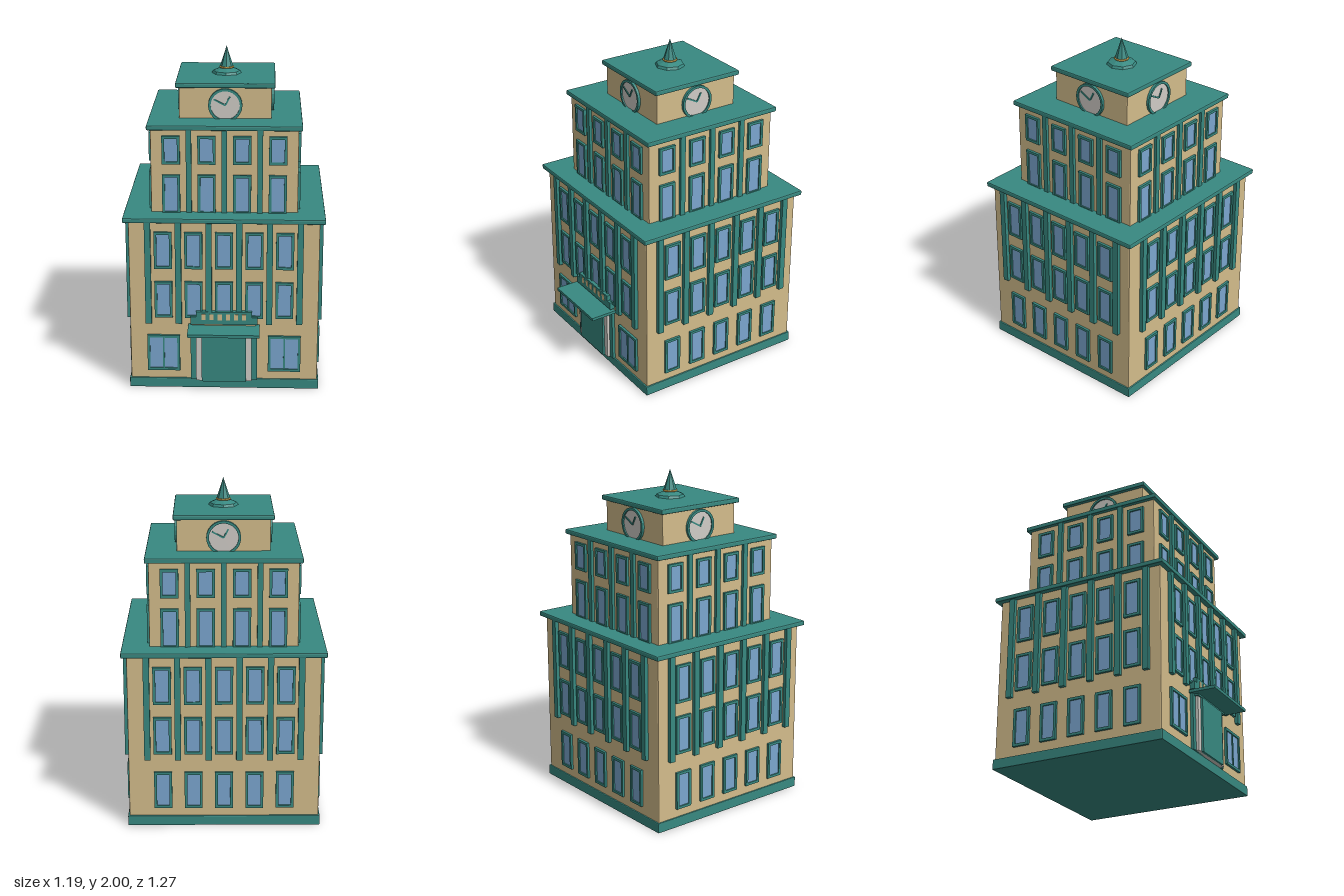
import * as THREE from 'three';
import { RoundedBoxGeometry } from 'three/addons/geometries/RoundedBoxGeometry.js';

const material = (name, color, flatShading = false) => {
  const m = new THREE.MeshStandardMaterial({ color });
  m.name = name;
  m.flatShading = flatShading;
  return m;
};

export function createModel() {
  const teal = material('teal trim', 0x388981, true);
  const stone = material('sandstone', 0xd3bc8b, true);
  const glass = material('blue glass', 0x7ba6cf);
  const pale = material('pale grey', 0xd0ccc6);
  const gold = material('gold', 0xc49a4a);

  const model = new THREE.Group();
  model.name = 'clockTowerBuilding';
  const building = new THREE.Group();
  building.name = 'building';
  building.position.z = -0.068;
  model.add(building);

  const add = (parent, name, geometry, mat, x = 0, y = 0, z = 0) => {
    const mesh = new THREE.Mesh(geometry, mat);
    mesh.name = name;
    mesh.position.set(x, y, z);
    parent.add(mesh);
    return mesh;
  };
  // Box given by its half width, bottom, top, back and front
  const block = (parent, name, mat, hx, y0, y1, z0, z1, x = 0) =>
    add(parent, name, new THREE.BoxGeometry(hx * 2, y1 - y0, z1 - z0), mat, x, (y0 + y1) / 2, (z0 + z1) / 2);
  // Slab with softened edges, centred on the building
  const slab = (name, mat, hx, hz, y0, y1, r) =>
    add(building, name, new RoundedBoxGeometry(hx * 2, y1 - y0, hz * 2, 1, r), mat, 0, (y0 + y1) / 2, 0);

  // Framed window on a wall lying in the plane z = 0
  const addWindow = (wall, x, y0, y1, width = 0.106, mullion = false) => {
    const w = width / 2, h = (y1 - y0) / 2, b = 0.016;
    const group = new THREE.Group();
    group.name = 'window';
    group.position.set(x, (y0 + y1) / 2, 0);
    wall.add(group);
    const rect = (Type, a, c) => new Type([
      new THREE.Vector2(-a, -c), new THREE.Vector2(a, -c),
      new THREE.Vector2(a, c), new THREE.Vector2(-a, c)]);
    const frame = rect(THREE.Shape, w, h);
    frame.holes.push(rect(THREE.Path, w - b, h - b));
    add(group, 'windowFrame', new THREE.ExtrudeGeometry(frame, { depth: 0.015, bevelEnabled: false }), teal);
    add(group, 'windowGlass', new THREE.BoxGeometry(2 * (w - b), 2 * (h - b), 0.006), glass, 0, 0, 0.004);
    if (mullion) add(group, 'mullion', new THREE.BoxGeometry(0.01, 2 * (h - b), 0.012), teal, 0, 0, 0.007);
  };

  // Calls build(wall, index) for all four walls; index 0 is the front
  const eachWall = (name, hx, hz, build) => {
    for (let i = 0; i < 4; i++) {
      const side = new THREE.Group();
      side.name = name;
      side.rotation.y = i * Math.PI / 2;
      building.add(side);
      const wall = new THREE.Group();
      wall.name = name + 'Face';
      wall.position.z = i % 2 ? hx : hz;
      side.add(wall);
      build(wall, i);
    }
  };

  // Stacked tiers with their projecting roofs
  slab('plinth', teal, 0.572, 0.547, 0, 0.062, 0.005);
  slab('lowerWalls', stone, 0.563, 0.538, 0.03, 1.07, 0.006);
  slab('lowerRoof', teal, 0.595, 0.568, 1.06, 1.09, 0.007);
  slab('middleWalls', stone, 0.433, 0.433, 1.07, 1.6, 0.005);
  slab('middleRoof', teal, 0.455, 0.455, 1.59, 1.62, 0.007);
  slab('clockWalls', stone, 0.273, 0.273, 1.6, 1.815, 0.004);
  slab('clockRoof', teal, 0.294, 0.294, 1.805, 1.835, 0.007);

  // Lower tier: pilasters, two window rows and the ground floor
  eachWall('lowerWall', 0.563, 0.538, (wall, side) => {
    for (let i = 0; i < 6; i++)
      block(wall, 'pilaster', teal, 0.018, 0.425, 1.065, -0.01, 0.023, (i - 2.5) * 0.18);
    for (let i = -2; i <= 2; i++) {
      addWindow(wall, i * 0.18, 0.772, 1.0);
      addWindow(wall, i * 0.18, 0.46, 0.69);
      if (side !== 0) addWindow(wall, i * 0.18, 0.115, 0.345);
    }
    if (side === 0)
      for (const s of [-1, 1]) addWindow(wall, s * 0.363, 0.115, 0.345, 0.196, true);
  });

  // Middle tier: three pilasters and two rows of four windows
  eachWall('middleWall', 0.433, 0.433, (wall) => {
    for (let i = -1; i <= 1; i++)
      block(wall, 'pilaster', teal, 0.016, 1.08, 1.595, -0.01, 0.018, i * 0.209);
    for (let i = 0; i < 4; i++) {
      addWindow(wall, (i - 1.5) * 0.209, 1.385, 1.555);
      addWindow(wall, (i - 1.5) * 0.209, 1.08, 1.32);
    }
  });

  // Clocks on all four sides
  eachWall('clockWall', 0.273, 0.273, (wall) => {
    const clock = new THREE.Group();
    clock.name = 'clock';
    clock.position.y = 1.7;
    wall.add(clock);
    const ring = new THREE.Shape().absarc(0, 0, 0.101, 0, Math.PI * 2, false);
    ring.holes.push(new THREE.Path().absarc(0, 0, 0.086, 0, Math.PI * 2, true));
    add(clock, 'clockRim', new THREE.ExtrudeGeometry(ring, { depth: 0.016, bevelEnabled: false, curveSegments: 12 }), teal);
    add(clock, 'clockFace', new THREE.CylinderGeometry(0.09, 0.09, 0.008, 24).rotateX(Math.PI / 2), pale, 0, 0, 0.004);
    for (const [x, y] of [[-0.068, 0.036], [0.027, 0.051]]) {
      const hand = add(clock, 'clockHand', new THREE.BoxGeometry(Math.hypot(x, y), 0.009, 0.006), teal, x / 2, y / 2, 0.01);
      hand.rotation.z = Math.atan2(y, x);
    }
  });

  // Spire
  add(building, 'spireBase', new THREE.CylinderGeometry(0.082, 0.09, 0.015, 8), teal, 0, 1.842, 0);
  add(building, 'spireFlare', new THREE.CylinderGeometry(0.04, 0.082, 0.018, 8), teal, 0, 1.858, 0);
  add(building, 'spireRing', new THREE.TorusGeometry(0.039, 0.006, 6, 16).rotateX(Math.PI / 2), gold, 0, 1.872, 0);
  add(building, 'spire', new THREE.ConeGeometry(0.042, 0.13, 8), teal, 0, 1.935, 0);

  // Entrance: stepped layers, canopy and parapet
  const entrance = new THREE.Group();
  entrance.name = 'entrance';
  model.add(entrance);
  block(entrance, 'doorSurround', teal, 0.2, 0.06, 0.4, 0.46, 0.488);
  block(entrance, 'doorPiers', pale, 0.167, 0.06, 0.395, 0.48, 0.505);
  block(entrance, 'door', teal, 0.133, 0.06, 0.388, 0.5, 0.518);
  block(entrance, 'doorLintel', teal, 0.18, 0.388, 0.4, 0.48, 0.514);
  block(entrance, 'canopy', teal, 0.213, 0.398, 0.416, 0.46, 0.635);
  block(entrance, 'parapetBand', stone, 0.19, 0.416, 0.427, 0.46, 0.49);
  block(entrance, 'parapetBase', teal, 0.2, 0.425, 0.472, 0.46, 0.5);
  block(entrance, 'parapetTop', teal, 0.167, 0.472, 0.505, 0.46, 0.5);
  for (let i = 0; i < 6; i++)
    block(entrance, 'parapetSlot', stone, 0.012, 0.455, 0.492, 0.496, 0.503, (i - 2.5) * 0.048);

  return model;
}
